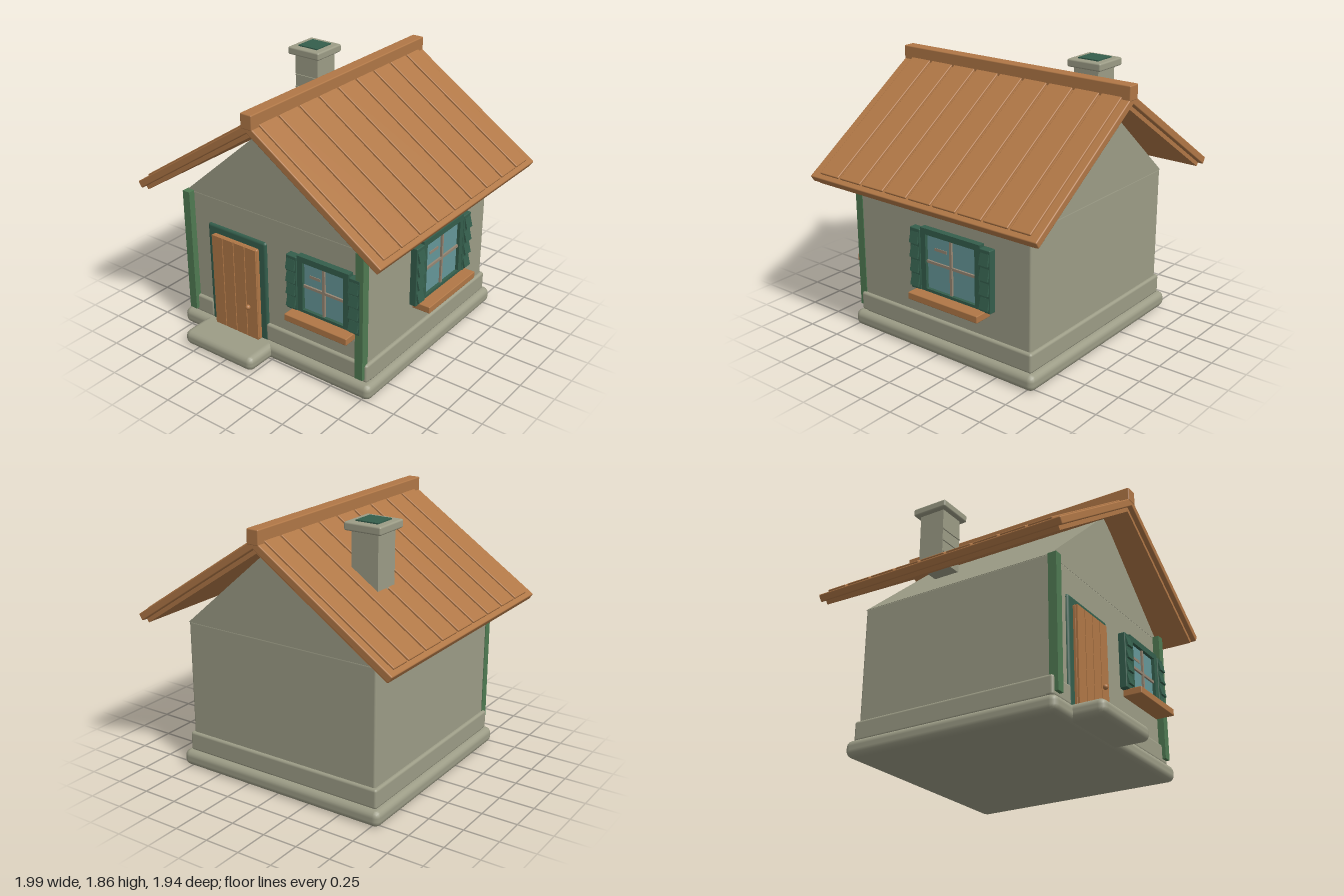
import * as THREE from 'three';
import { RoundedBoxGeometry } from 'three/addons/geometries/RoundedBoxGeometry.js';

const mat = (name, color) => Object.assign(new THREE.MeshStandardMaterial({ color }), { name });

export function createModel() {
  const stone = mat('stone', 0x9c9c86);
  const wood = mat('wood', 0xb07746);
  const darkGreen = mat('dark green', 0x345e4c);
  const postGreen = mat('post green', 0x4f7a52);
  const glass = mat('glass', 0x659799);
  const barTan = mat('bar tan', 0x958673);

  const model = new THREE.Group();
  model.name = 'cottage';

  // Box given by its min and max on each axis, optionally with rounded edges
  function box(parent, name, material, [x0, x1], [y0, y1], [z0, z1], r = 0) {
    const size = [Math.abs(x1 - x0), y1 - y0, z1 - z0];
    const geo = r ? new RoundedBoxGeometry(...size, 2, r) : new THREE.BoxGeometry(...size);
    const mesh = new THREE.Mesh(geo, material);
    mesh.name = name;
    mesh.position.set((x0 + x1) / 2, (y0 + y1) / 2, (z0 + z1) / 2);
    parent.add(mesh);
    return mesh;
  }
  function group(name, parent = model) {
    const g = new THREE.Group();
    g.name = name;
    parent.add(g);
    return g;
  }

  // Base, step and plinth
  box(model, 'foundation', stone, [-0.81, 0.81], [0, 0.115], [-0.81, 0.76], 0.045);
  box(model, 'doorStep', stone, [-0.61, 0], [0.005, 0.112], [0.6, 0.97], 0.045);
  box(model, 'plinth', stone, [-0.77, 0.77], [0.11, 0.25], [-0.77, 0.685], 0.018);
  box(model, 'plinthFrontRight', stone, [-0.77, -0.55], [0.115, 0.25], [0.58, 0.722], 0.018);
  box(model, 'plinthFrontLeft', stone, [-0.07, 0.77], [0.115, 0.25], [0.58, 0.722], 0.018);

  // Walls and gable
  box(model, 'walls', stone, [-0.748, 0.748], [0.1, 1.068], [-0.75, 0.7], 0.015);
  const tri = new THREE.Shape([[-0.75, 1.06], [0.75, 1.06], [0, 1.715]].map(p => new THREE.Vector2(...p)));
  const gable = new THREE.Mesh(new THREE.ExtrudeGeometry(tri, { depth: 1.45, bevelEnabled: false }), stone);
  gable.name = 'gable';
  gable.position.z = -0.75;
  model.add(gable);

  // Corner posts at the front
  for (const s of [-1, 1])
    box(model, 'cornerPost', postGreen, [s * 0.692, s * 0.752], [0.145, 1.066], [0.688, 0.748]);

  // Door
  const door = group('door');
  box(door, 'doorFrame', darkGreen, [-0.565, -0.055], [0.105, 0.868], [0.66, 0.718], 0.02);
  box(door, 'doorLeaf', wood, [-0.505, -0.112], [0.11, 0.81], [0.69, 0.742], 0.012);
  for (let i = 0; i < 4; i++) {
    const x = -0.503 + i * 0.0975;
    box(door, 'doorPlank', wood, [x, x + 0.0915], [0.112, 0.806], [0.735, 0.75]);
  }
  const knob = new THREE.Mesh(new THREE.SphereGeometry(0.018, 16, 12), wood);
  knob.name = 'doorKnob';
  knob.position.set(-0.19, 0.355, 0.763);
  door.add(knob);

  // Window facing +z, with shutters and sill; y0 is the underside of the sill
  function makeWindow(name, w, y0, y1) {
    const g = group(name);
    const h = w / 2, b = 0.042, gx = h - b, gy0 = y0 + 0.07, gy1 = y1 - b, mid = (gy0 + gy1) / 2;
    for (const s of [-1, 1]) {
      box(g, 'frameSide', darkGreen, [s * gx, s * h], [y0 + 0.04, y1], [-0.01, 0.045]);
      const a = s * (h + 0.002), c = s * (h + 0.088);
      const sy0 = y0 + 0.045, sy1 = y1 - 0.016;
      box(g, 'shutter', darkGreen, [a, c], [sy0, sy1], [-0.01, 0.05], 0.006);
      const pitch = (sy1 - sy0 - 0.03) / 4;
      for (let i = 0; i < 4; i++) {
        const y = sy0 + 0.015 + pitch * (i + 0.5);
        const slat = box(g, 'shutterSlat', darkGreen, [a + s * 0.008, c - s * 0.008],
          [y - pitch * 0.4, y + pitch * 0.4], [0.047, 0.061]);
        slat.rotation.x = -0.25;
      }
    }
    box(g, 'frameTop', darkGreen, [-gx, gx], [gy1, y1], [-0.01, 0.045]);
    box(g, 'frameBottom', darkGreen, [-gx, gx], [y0 + 0.04, gy0], [-0.01, 0.045]);
    box(g, 'pane', glass, [-gx, gx], [gy0, gy1], [-0.01, 0.022]);
    box(g, 'verticalBar', barTan, [-0.009, 0.009], [gy0, gy1], [0.02, 0.037]);
    box(g, 'horizontalBar', barTan, [-gx, gx], [mid - 0.009, mid + 0.009], [0.02, 0.035]);
    box(g, 'paneGlint', barTan, [-w * 0.29, -w * 0.08], [gy1 - 0.105, gy1 - 0.085], [0.02, 0.026]);
    box(g, 'sill', wood, [-h - 0.045, h + 0.045], [y0, y0 + 0.05], [-0.01, 0.132], 0.006);
    return g;
  }
  makeWindow('frontWindow', 0.41, 0.432, 0.892).position.set(0.435, 0, 0.7);
  const side = makeWindow('sideWindow', 0.5, 0.402, 0.897);
  side.position.set(0.748, 0, -0.13);
  side.rotation.y = Math.PI / 2;

  // Roof: each slope is a slab with raised planks above and an inset underlay
  const slope = 0.587;
  for (const s of [-1, 1]) {
    const g = group('roofSlope');
    g.position.y = 1.8;
    g.rotation.z = -s * slope;
    box(g, 'roofSlab', wood, [0, s * 1.2], [-0.058, -0.006], [-0.97, 0.92], 0.008);
    box(g, 'roofUnderlay', wood, [0, s * 1.185], [-0.086, -0.055], [-0.935, 0.885]);
    for (let i = 0; i < 9; i++) {
      const z0 = i ? -0.945 + i * 0.203 : -0.91;
      const z1 = i < 8 ? -0.945 + (i + 1) * 0.203 - 0.018 : 0.85;
      box(g, 'roofPlank', wood, [s * 0.04, s * 1.163], [-0.02, 0.007], [z0, z1], 0.006);
    }
  }
  box(model, 'roofRidge', wood, [-0.045, 0.045], [1.755, 1.857], [-0.972, 0.922], 0.008);

  // Chimney
  const chimney = group('chimney');
  box(chimney, 'chimneyShaft', stone, [-0.568, -0.372], [1.385, 1.81], [-0.458, -0.262]);
  for (const y of [1.465, 1.555, 1.645])
    box(chimney, 'chimneyBand', stone, [-0.566, -0.374], [y - 0.005, y + 0.005], [-0.265, -0.254]);
  box(chimney, 'chimneyCap', stone, [-0.606, -0.336], [1.797, 1.853], [-0.495, -0.225], 0.012);
  box(chimney, 'chimneyOpening', darkGreen, [-0.553, -0.39], [1.852, 1.861], [-0.442, -0.279]);

  return model;
}
